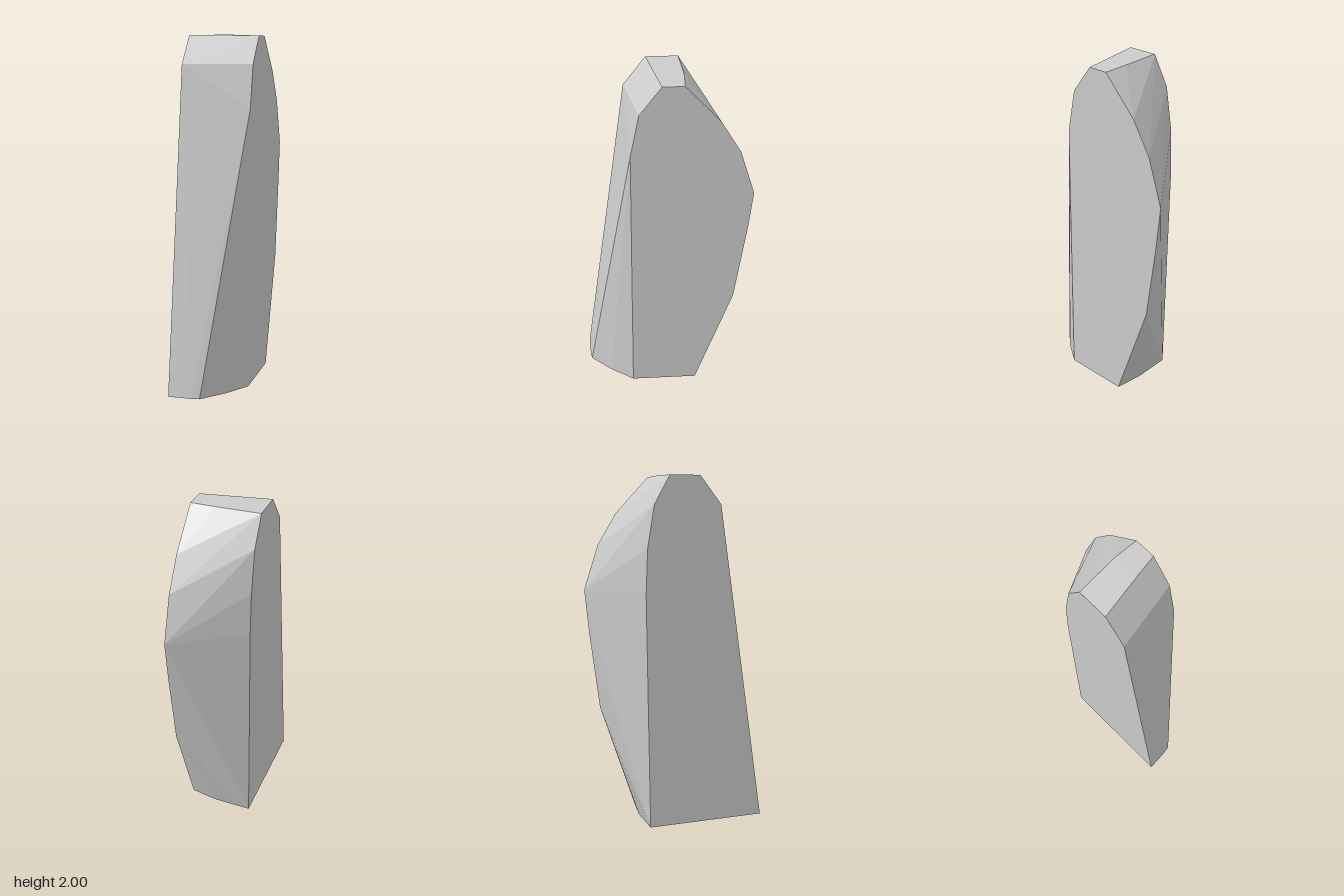
import * as THREE from 'three';
import { ConvexGeometry } from 'three/addons/geometries/ConvexGeometry.js';

// Outlines of the two flat sides as [z, y]
const leftSide = [
  [0.205, 0], [0.19, 1.6], [0.14, 1.84], [0.02, 1.995], [-0.097, 1.995],
  [-0.29, 1.79], [-0.4, 1.61], [-0.485, 1.35], [-0.46, 1.1], [-0.4, 0.64], [-0.185, 0],
];
const rightSide = [
  [0.483, 0], [0.213, 1.84], [0.087, 2], [-0.09, 2],
  [-0.18, 1.84], [-0.22, 1.6], [-0.23, 1.35], [-0.21, 0],
];
// Corners between the sides, on the base and the top, as [x, y, z]
const between = [
  [-0.06, 0, 0.474], [-0.015, 0, 0.465], [0.1, 0, 0.34], [0.03, 0, -0.21],
  [0.05, 2, 0.035], [0.05, 2, -0.103],
];

export function createModel() {
  const group = new THREE.Group();
  group.name = 'standingStone';

  // The stone is one faceted convex block
  const points = [
    ...leftSide.map(([z, y]) => new THREE.Vector3(0.193, y, z)),
    ...rightSide.map(([z, y]) => new THREE.Vector3(-0.195, y, z)),
    ...between.map((p) => new THREE.Vector3(...p)),
  ];
  const stone = new THREE.Mesh(
    new ConvexGeometry(points),
    new THREE.MeshStandardMaterial({ color: 0xcccccc, flatShading: true }),
  );
  stone.name = 'stone';
  group.add(stone);
  return group;
}
